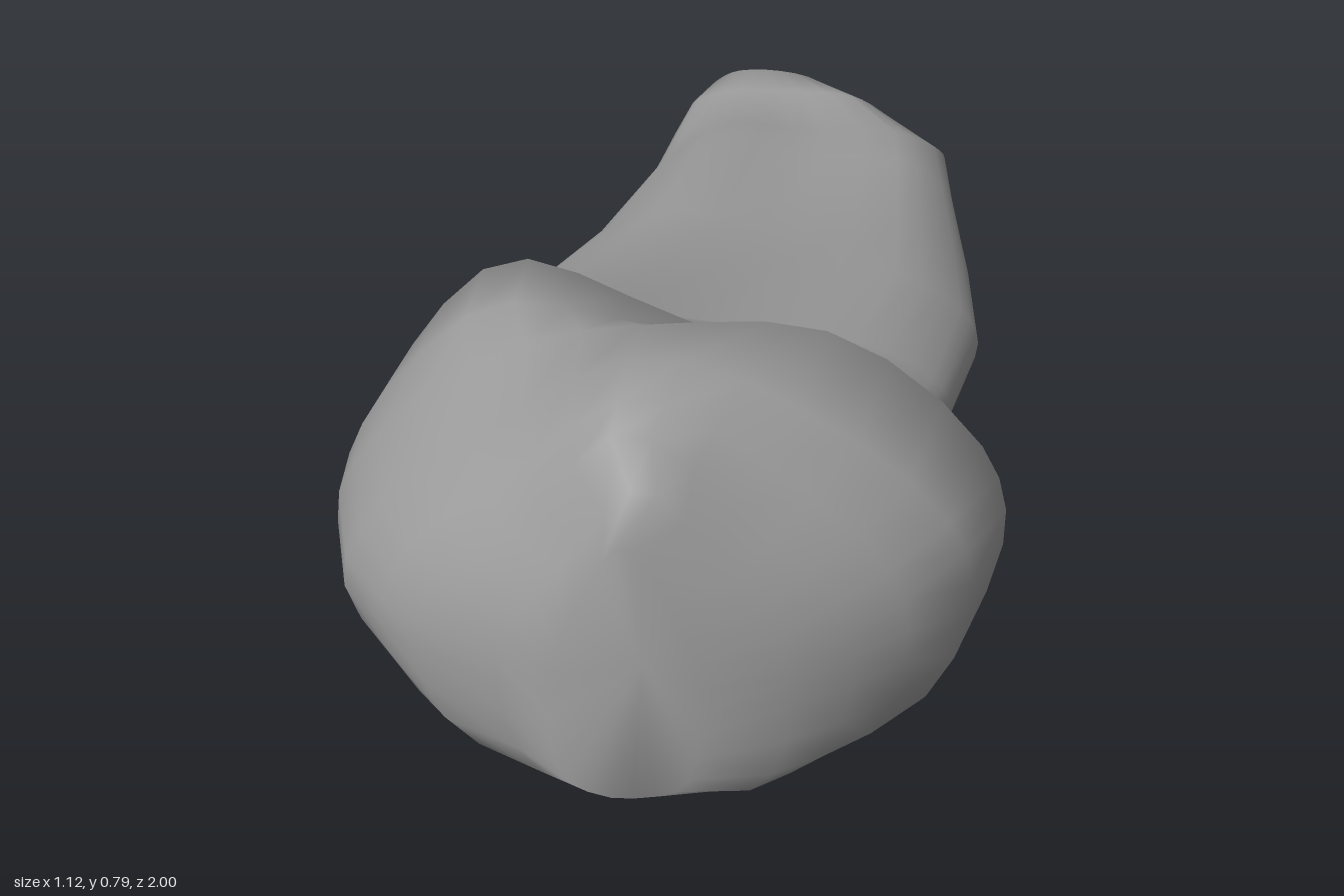
import * as THREE from 'three';

// Cross-sections from the thin tail (-z) to the blunt head (+z):
// z, min x, max x, bottom y, waist y (-x, +x), top y (-x shoulder, middle, +x shoulder)
const SECTIONS = [
  [-0.97, -0.15, 0.09, 0.12, 0.18, 0.18, 0.22, 0.23, 0.22],
  [-0.90, -0.18, 0.21, 0.08, 0.18, 0.18, 0.22, 0.23, 0.23],
  [-0.80, -0.20, 0.34, 0.05, 0.17, 0.17, 0.21, 0.21, 0.22],
  [-0.65, -0.22, 0.37, 0.01, 0.17, 0.17, 0.28, 0.25, 0.26],
  [-0.42, -0.29, 0.42, 0.00, 0.18, 0.18, 0.26, 0.24, 0.27],
  [-0.18, -0.39, 0.46, 0.03, 0.20, 0.20, 0.31, 0.33, 0.34],
  [0.04, -0.45, 0.43, 0.05, 0.23, 0.22, 0.36, 0.36, 0.34],
  [0.16, -0.49, 0.41, 0.06, 0.25, 0.24, 0.46, 0.43, 0.38],
  [0.30, -0.54, 0.42, 0.06, 0.26, 0.27, 0.65, 0.58, 0.46],
  [0.44, -0.565, 0.45, 0.05, 0.25, 0.30, 0.66, 0.65, 0.62],
  [0.54, -0.56, 0.56, 0.06, 0.25, 0.36, 0.65, 0.73, 0.74],
  [0.70, -0.51, 0.52, 0.07, 0.25, 0.34, 0.63, 0.79, 0.70],
  [0.79, -0.43, 0.43, 0.07, 0.26, 0.31, 0.61, 0.775, 0.66],
  [0.85, -0.36, 0.35, 0.07, 0.27, 0.30, 0.57, 0.755, 0.62],
  [0.91, -0.21, 0.26, 0.08, 0.28, 0.30, 0.55, 0.70, 0.58],
  [0.96, -0.12, 0.12, 0.13, 0.26, 0.26, 0.53, 0.62, 0.55],
];
const SIDES = 28;
const { lerp, smoothstep } = THREE.MathUtils;

// Smooth closed outline through the key points of one section
function sectionRing([z, x0, x1, bottom, waistL, waistR, topL, topM, topR]) {
  const w = x1 - x0;
  // The tail is flat-topped with a shallow keel; the head is domed and square below
  const head = smoothstep(z, -0.1, 0.5);
  const keys = [
    [x0, waistL],
    [x0 + 0.06 * w, waistL + 0.45 * (topL - waistL)],
    [x0 + lerp(0.2, 0.27, head) * w, topL],
    [x0 + 0.5 * w, topM],
    [x1 - lerp(0.17, 0.25, head) * w, topR],
    [x1 - 0.04 * w, waistR + 0.48 * (topR - waistR)],
    [x1, waistR],
    [x1 - lerp(0.04, 0.1, head) * w, bottom + lerp(0.48, 0.1, head) * (waistR - bottom)],
    [x0 + 0.53 * w, bottom],
    [x0 + lerp(0.06, 0.12, head) * w, bottom + lerp(0.25, 0.04, head) * (waistL - bottom)],
  ].map(([x, y]) => new THREE.Vector3(x, y, z));
  const curve = new THREE.CatmullRomCurve3(keys, true, 'centripetal');
  return Array.from({ length: SIDES }, (_, j) => curve.getPoint(j / SIDES));
}

export function createModel() {
  const positions = [];
  const index = [];

  for (const section of SECTIONS) {
    for (const p of sectionRing(section)) {
      // Chin juts out near the middle of the lower front
      const chin = p.z > 0.95 ? 0.04 * smoothstep(0.3 - p.y, 0, 0.1) * (1 - Math.abs(p.x) / 0.15) : 0;
      positions.push(p.x, Math.max(p.y, 0), p.z + chin);
    }
  }

  // Skin between neighbouring sections
  const rings = SECTIONS.length;
  for (let i = 0; i < rings - 1; i++) {
    for (let j = 0; j < SIDES; j++) {
      const a = i * SIDES + j;
      const b = i * SIDES + ((j + 1) % SIDES);
      index.push(a, a + SIDES, b, b, a + SIDES, b + SIDES);
    }
  }

  // Tail tip and front of the head
  const tail = rings * SIDES;
  const face = tail + 1;
  positions.push(-0.06, 0.18, -1, 0.03, 0.38, 0.95);
  const last = (rings - 1) * SIDES;
  for (let j = 0; j < SIDES; j++) {
    const k = (j + 1) % SIDES;
    index.push(tail, j, k, face, last + k, last + j);
  }

  const geometry = new THREE.BufferGeometry();
  geometry.setAttribute('position', new THREE.Float32BufferAttribute(positions, 3));
  geometry.setIndex(index);
  geometry.computeVertexNormals();

  const rock = new THREE.Mesh(geometry, new THREE.MeshStandardMaterial({ color: 0x9c9c9c }));
  rock.name = 'rock';
  const group = new THREE.Group();
  group.name = 'boulder';
  group.add(rock);
  return group;
}
